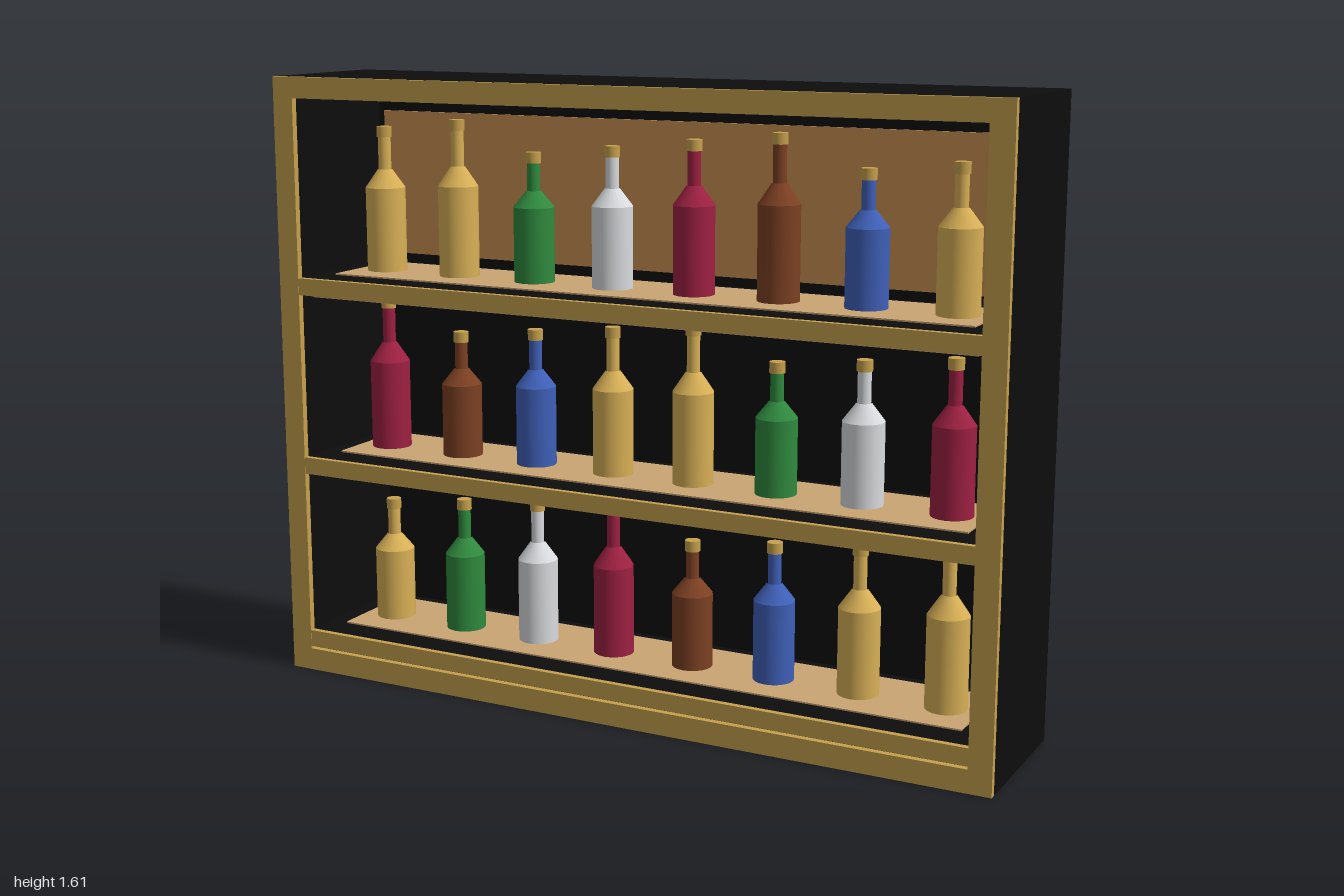
import * as THREE from 'three';

const mat = (name, color, side = THREE.FrontSide) => {
  const m = new THREE.MeshStandardMaterial({ color, side });
  m.name = name;
  return m;
};

export function createModel() {
  const black = mat('black lacquer', 0x0d0d0d);
  const brass = mat('brass', 0xc6a04c);
  const copper = mat('copper panel', 0xcb9153);
  const tan = mat('tan shelf liner', 0xcaa573);
  const glass = {
    amber: mat('amber glass', 0xd8b056),
    green: mat('green glass', 0x2f8a3e),
    white: mat('clear glass', 0xd9dbde),
    red: mat('red glass', 0x9e2042),
    brown: mat('brown glass', 0x7c4023),
    blue: mat('blue glass', 0x3f60b8),
  };

  const model = new THREE.Group();
  model.name = 'bottleCabinet';
  // Box given by its lower and upper corners
  const box = (name, m, [x0, y0, z0], [x1, y1, z1], parent = model) => {
    const mesh = new THREE.Mesh(new THREE.BoxGeometry(x1 - x0, y1 - y0, z1 - z0), m);
    mesh.position.set((x0 + x1) / 2, (y0 + y1) / 2, (z0 + z1) / 2);
    mesh.name = name;
    parent.add(mesh);
    return mesh;
  };

  const H = 1.61, Z = 0.207, FZ = 0.19;

  // Carcass: back, sides, top and bottom
  box('backBoard', black, [-1, 0, -Z], [1, H, -0.185]);
  box('rightWall', black, [-1, 0, -0.185], [-0.94, H, FZ]);
  box('leftWall', black, [0.94, 0, -0.185], [1, H, FZ]);
  box('topBoard', black, [-0.94, 1.555, -0.185], [0.94, H, FZ]);
  box('bottomBoard', black, [-0.94, 0, -0.185], [0.94, 0.055, FZ]);
  box('copperBackPanel', copper, [-0.92, 1.11, -0.185], [0.92, 1.502, -0.178]);

  // Front frame: one plate with an opening
  const outline = new THREE.Shape();
  outline.moveTo(-1, 0).lineTo(1, 0).lineTo(1, H).lineTo(-1, H).closePath();
  const opening = new THREE.Path();
  opening.moveTo(-0.94, 0.06).lineTo(-0.94, 1.555).lineTo(0.94, 1.555).lineTo(0.94, 0.06).closePath();
  outline.holes.push(opening);
  const frame = new THREE.Mesh(
    new THREE.ExtrudeGeometry(outline, { depth: Z - FZ, bevelEnabled: false }), brass);
  frame.position.z = FZ;
  frame.name = 'frontFrame';
  model.add(frame);

  // Bottle: straight body, sloped shoulder, thin neck and brass cap
  const v = (x, y) => new THREE.Vector2(x, y);
  const lathe = (name, points, m, parent) => {
    const mesh = new THREE.Mesh(new THREE.LatheGeometry(points, 20), m);
    mesh.name = name;
    parent.add(mesh);
  };
  const makeBottle = (h, m) => {
    const bottle = new THREE.Group();
    bottle.name = 'bottle';
    const body = h * 0.58, shoulder = body + h * 0.125, capBase = h - 0.028;
    lathe('bottleBase', [v(0, 0), v(0.053, 0)], m, bottle);
    lathe('bottleBody', [v(0.053, 0), v(0.053, body)], m, bottle);
    lathe('bottleShoulder', [v(0.053, body), v(0.019, shoulder)], m, bottle);
    lathe('bottleNeck', [v(0.017, shoulder - 0.005), v(0.017, capBase)], m, bottle);
    const cap = new THREE.Mesh(new THREE.CylinderGeometry(0.02, 0.02, 0.028, 20), brass);
    cap.position.y = h - 0.014;
    cap.name = 'bottleCap';
    bottle.add(cap);
    return bottle;
  };

  // Shelves from bottom to top, each with a row of bottles
  const heights = [0.335, 0.36, 0.385, 0.41];
  const colours = ['amber', 'amber', 'green', 'white', 'red', 'brown', 'blue'];
  const rows = [
    { y: 0.112, size: 0, tint: 1 },
    { y: 0.598, size: 3, tint: 4 },
    { y: 1.084, size: 2, tint: 0 },
  ];
  rows.forEach(({ y, size, tint }, r) => {
    const shelf = new THREE.Group();
    shelf.name = 'shelf';
    model.add(shelf);
    box('shelfBoard', black, [-0.94, y - 0.042, -0.185], [0.94, y, FZ], shelf);
    box('shelfLip', brass, [-0.94, y - 0.045, FZ], [0.94, y, Z - 0.001], shelf);
    box('shelfLiner', tan, [-0.89, y, -0.15], [0.89, y + 0.004, 0.11], shelf);
    if (r > 0) box('underShelfStrip', tan, [-0.92, y - 0.054, 0.15], [0.92, y - 0.042, 0.17], shelf);
    for (let i = 0; i < 8; i++) {
      const bottle = makeBottle(heights[(i + size) % 4], glass[colours[(i + tint) % 7]]);
      bottle.position.set(-0.807 + i * 0.2306, y + 0.004, -0.013);
      shelf.add(bottle);
    }
  });

  return model;
}
